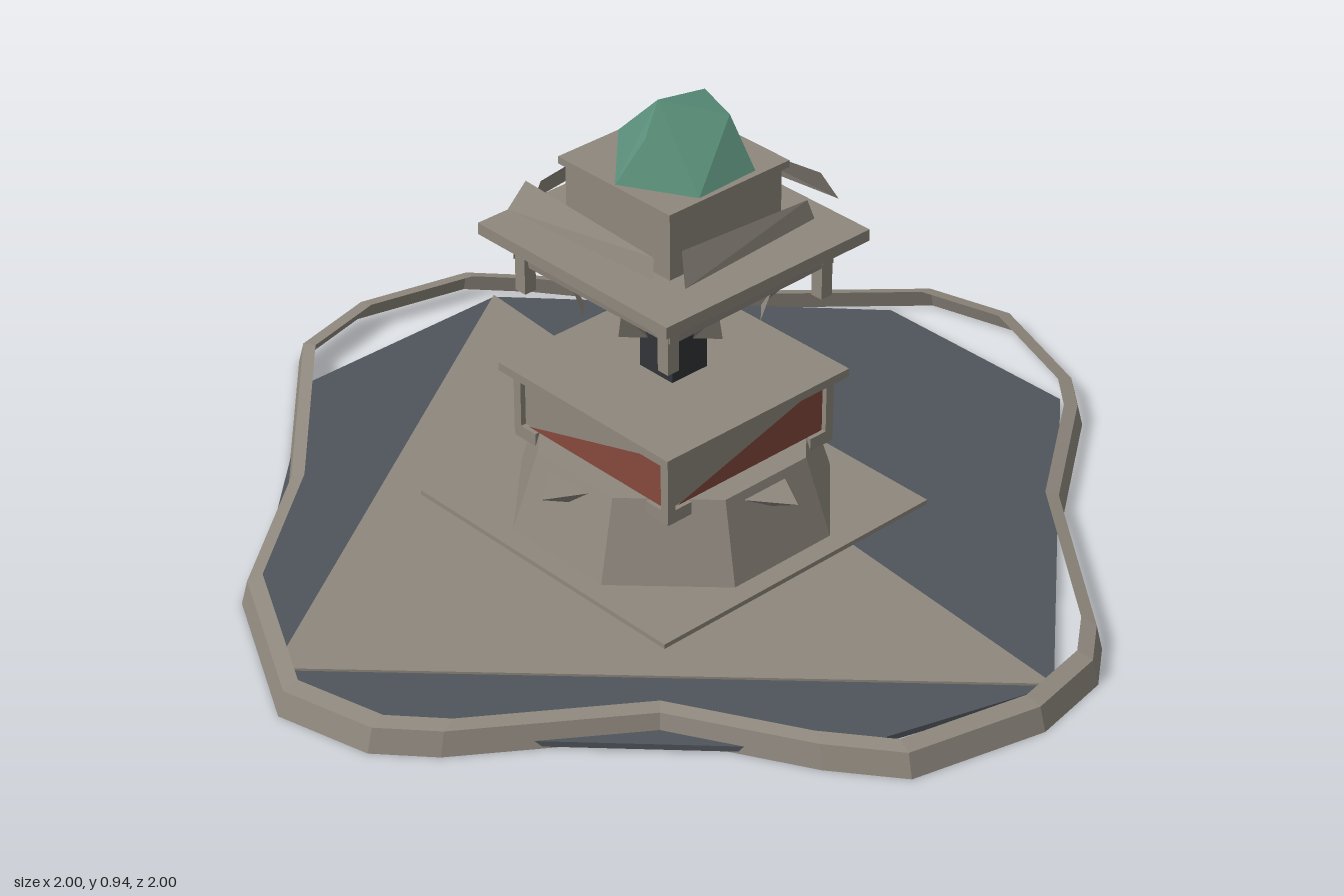
import * as THREE from 'three';
import { ConvexGeometry } from 'three/addons/geometries/ConvexGeometry.js';

const paint = (name, color) => {
  const m = new THREE.MeshStandardMaterial({ color, flatShading: true, side: THREE.DoubleSide });
  m.name = name;
  return m;
};

export function createModel() {
  const stone = paint('stone', 0x8f887e);
  const slate = paint('slate', 0x4f555b);
  const red = paint('red', 0x87493e);
  const green = paint('green', 0x5c917c);
  const black = paint('black', 0x333438);
  const model = new THREE.Group();

  const add = (name, geo, mat, x = 0, y = 0, z = 0, parent = model) => {
    const mesh = new THREE.Mesh(geo, mat);
    mesh.name = name;
    mesh.position.set(x, y, z);
    parent.add(mesh);
    return mesh;
  };
  // Box given by its width, depth and vertical range
  const slab = (name, w, d, y0, y1, mat, x = 0, z = 0, parent = model) =>
    add(name, new THREE.BoxGeometry(w, y1 - y0, d), mat, x, (y0 + y1) / 2, z, parent);
  // Faceted surface from a few corners
  const facets = (name, points, faces, mat, parent = model) => {
    const geo = new THREE.BufferGeometry();
    geo.setAttribute('position', new THREE.Float32BufferAttribute(points.flat(), 3));
    geo.setIndex(faces);
    const flat = geo.toNonIndexed();
    flat.computeVertexNormals();
    return add(name, flat, mat, 0, 0, 0, parent);
  };
  // Flat horizontal plate with an (x, z) outline
  const plate = (name, outline, y, h, mat) => {
    const shape = new THREE.Shape(outline.map(([x, z]) => new THREE.Vector2(x, -z)));
    const geo = new THREE.ExtrudeGeometry(shape, { depth: h, bevelEnabled: false });
    geo.rotateX(-Math.PI / 2);
    return add(name, geo, mat, 0, y, 0);
  };

  // Pool floor, paving and step
  plate('poolFloor', [[-0.22, -0.85], [0.27, -0.85], [0.93, -0.1], [0.8, 0.32], [0.27, 0.84],
    [-0.1, 0.93], [-0.36, 0.76], [-0.85, 0.25], [-0.85, -0.26]], 0.004, 0.012, slate);
  plate('paving', [[-0.85, -0.26], [-0.3, -0.215], [0.36, -0.15], [0.93, -0.1], [-0.1, 0.93]],
    0.016, 0.005, stone);
  plate('step', [[-0.36, -0.22], [-0.2, -0.36], [0.355, -0.36], [0.355, 0.355], [-0.36, 0.355]],
    0.021, 0.01, stone);

  // Irregular rim: outer foot, crest and inner lip
  const rim = [[0, -1], [0.27, -0.9], [0.35, -0.83], [0.55, -0.55], [0.9, -0.27], [0.97, -0.18],
    [1, 0], [0.93, 0.28], [0.8, 0.38], [0.53, 0.53], [0.3, 0.86], [0.2, 0.95], [0, 1],
    [-0.33, 0.83], [-0.56, 0.54], [-0.95, 0.2], [-1, 0], [-0.94, -0.25], [-0.83, -0.35],
    [-0.53, -0.57], [-0.19, -0.95]];
  const rings = [[1, 0], [0.985, 0.05], [0.95, 0.058]];
  const n = rim.length;
  const rimPoints = rings.flatMap(([s, y]) => rim.map(([x, z]) => [x * s, y, z * s]));
  const rimFaces = [];
  for (let r = 0; r < 2; r++) for (let i = 0; i < n; i++) {
    const a = r * n + i, b = r * n + (i + 1) % n;
    rimFaces.push(a, a + n, b, b, a + n, b + n);
  }
  facets('poolRim', rimPoints, rimFaces, stone);

  // Octagonal pedestal
  const apothem = Math.cos(Math.PI / 8);
  const pedestal = new THREE.CylinderGeometry(0.262 / apothem, 0.312 / apothem, 0.17, 8);
  pedestal.rotateY(Math.PI / 8);
  add('pedestal', pedestal, stone, 0, 0.115, 0);

  // Lower chamber
  slab('chamber', 0.42, 0.42, 0.19, 0.325, stone);
  slab('chamberRoof', 0.485, 0.485, 0.32, 0.338, stone);
  slab('lampBlock', 0.092, 0.092, 0.338, 0.425, black);
  add('flame', new ConvexGeometry([[0, 0.43, 0], [-0.018, 0.465, 0.01], [0.022, 0.49, 0],
    [0.008, 0.505, -0.005], [0, 0.47, -0.015]].map(p => new THREE.Vector3(...p))), black);

  // Upper storey
  slab('wideRoof', 0.53, 0.53, 0.627, 0.652, stone);
  slab('upperChamber', 0.29, 0.29, 0.652, 0.787, stone);
  slab('upperCornice', 0.31, 0.31, 0.785, 0.8, stone);

  // Details repeated on the four sides
  for (let k = 0; k < 4; k++) {
    const side = new THREE.Group();
    side.name = 'side' + (k + 1);
    side.rotation.y = k * Math.PI / 2;
    model.add(side);
    facets('spout', [[-0.07, 0.182, 0.26], [0.05, 0.182, 0.26], [0, 0.182, 0.35], [0, 0.14, 0.27]],
      [0, 2, 1, 0, 3, 2, 3, 1, 2], k > 1 ? slate : stone, side);
    facets('redPanel', [[-0.19, 0.2, 0.213], [0.2, 0.2, 0.213], [0.2, 0.31, 0.213]],
      [0, 1, 2], red, side);
    slab('cornerPost', 0.02, 0.02, 0.175, 0.32, stone, 0.212, 0.212, side);
    for (const s of [-1, 1]) {
      slab('postFoot', 0.06, 0.012, 0.172, 0.2, stone, s * 0.19, 0.216, side);
      // Hanging brackets
      facets('bracket', [[s * 0.13, 0.57, 0.2], [s * 0.07, 0.57, 0.2], [s * 0.09, 0.505, 0.15],
        [s * 0.05, 0.505, 0.19]], [0, 1, 2, 1, 3, 2], stone, side);
    }
    facets('lintel', [[-0.22, 0.627, 0.215], [0.22, 0.627, 0.215], [0.22, 0.575, 0.215],
      [-0.2, 0.56, 0.205]], [0, 3, 2, 0, 2, 1], stone, side);
    slab('hangingLeg', 0.028, 0.028, 0.505, 0.627, stone, 0.202, 0.202, side);
    // Tilted eave sliver
    facets('eaveSliver', [[-0.2, 0.7, 0.245], [0.16, 0.73, 0.2], [0.17, 0.69, 0.21],
      [-0.18, 0.76, 0.215]], [0, 2, 1, 0, 1, 3], stone, side);
  }

  // Faceted cap with one stone facet
  add('cap', new ConvexGeometry([[-0.155, 0.8, 0], [-0.06, 0.8, -0.14], [0.14, 0.8, -0.08],
    [0.145, 0.8, 0.07], [0, 0.8, 0.15], [0, 0.94, 0.04], [0.08, 0.9, -0.07], [-0.02, 0.905, -0.1],
    [0.03, 0.89, 0.1]].map(p => new THREE.Vector3(...p))), green);
  facets('capStoneFacet', [[-0.153, 0.804, -0.009], [-0.064, 0.804, -0.14], [-0.066, 0.865, -0.084]],
    [0, 2, 1], stone);
  return model;
}
